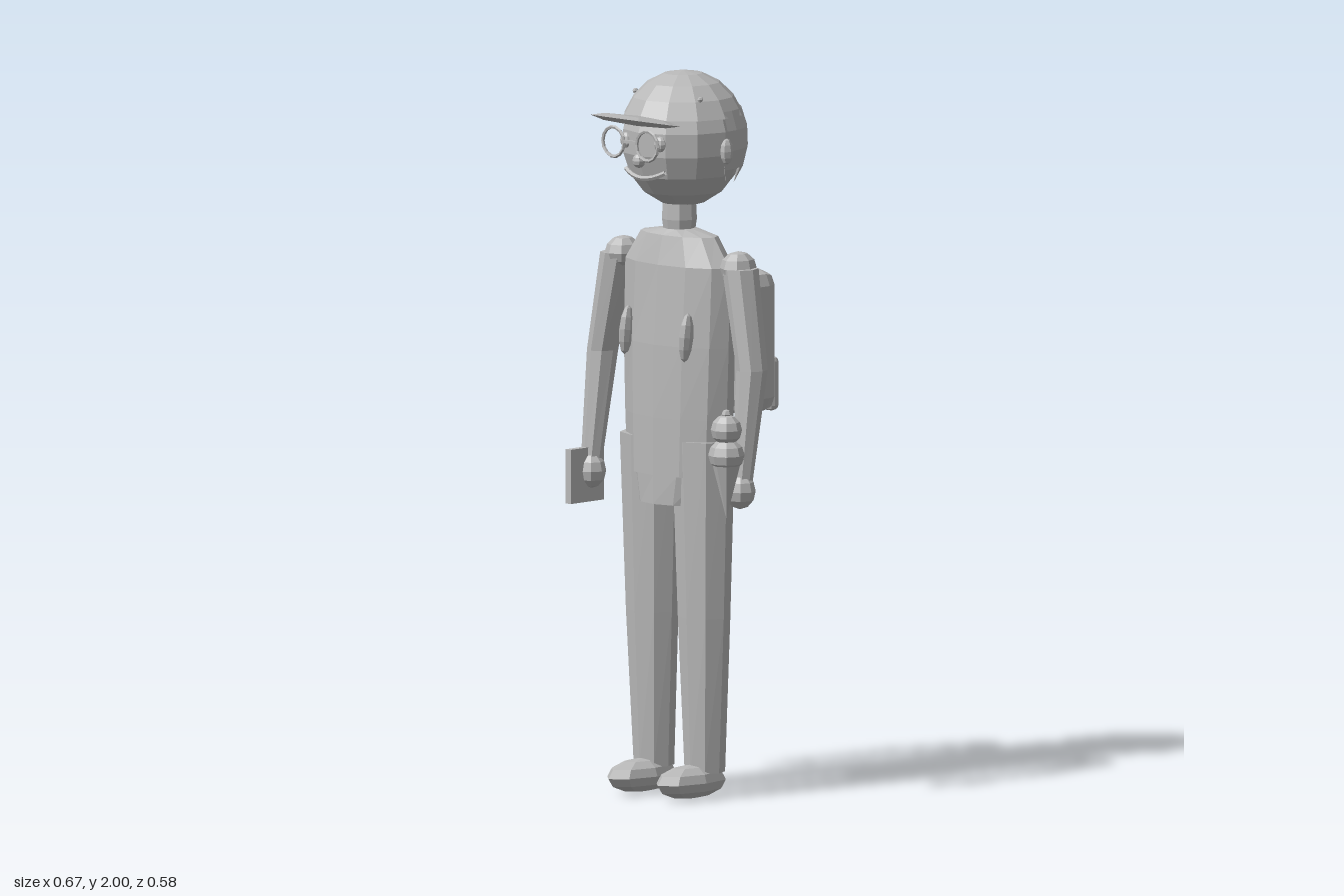
import * as THREE from 'three';
import { RoundedBoxGeometry } from 'three/addons/geometries/RoundedBoxGeometry.js';

export function createModel() {
  const model = new THREE.Group();
  const grey = new THREE.MeshStandardMaterial({ color: 0xb8b8b8, flatShading: true, side: THREE.DoubleSide });
  grey.name = 'plain grey';

  const add = (name, geometry, x = 0, y = 0, z = 0, parent = model) => {
    const mesh = new THREE.Mesh(geometry, grey);
    mesh.name = name;
    mesh.position.set(x, y, z);
    parent.add(mesh);
    return mesh;
  };
  const ball = (name, rx, ry, rz, x, y, z, w = 8, h = 6, parent = model) =>
    add(name, new THREE.SphereGeometry(1, w, h).scale(rx, ry, rz), x, y, z, parent);

  // Closed loft through elliptical rings [y, rx, rz, centre x, centre z], listed from the top
  const loft = (rings, sides) => {
    const g = new THREE.CylinderGeometry(1, 1, 1, sides, rings.length - 1);
    const p = g.attributes.position;
    for (let i = 0; i < p.count; i++) {
      const [y, rx, rz, cx = 0, cz = 0] = rings[Math.round((0.5 - p.getY(i)) * (rings.length - 1))];
      p.setXYZ(i, cx + p.getX(i) * rx, y, cz + p.getZ(i) * rz);
    }
    return g;
  };

  // Torso, hips and neck
  add('torso', loft([
    [1.565, 0.05, 0.045], [1.55, 0.135, 0.065], [1.47, 0.192, 0.085],
    [1.25, 0.19, 0.1], [1.05, 0.182, 0.103], [0.89, 0.173, 0.103],
  ], 12));
  add('hips', loft([[0.99, 0.165, 0.108], [0.89, 0.15, 0.108], [0.81, 0.125, 0.108]], 12), 0, 0, -0.005);
  add('neck', loft([[1.65, 0.045, 0.045], [1.59, 0.048, 0.048], [1.55, 0.042, 0.042]], 8));

  for (const s of [-1, 1]) {
    const side = s > 0 ? 'left' : 'right';
    // Legs and shoes
    add(side + 'Leg', loft([
      [0.99, 0.093, 0.08, s * 0.1, 0.008], [0.5, 0.076, 0.068, s * 0.1, 0.005], [0.07, 0.055, 0.056, s * 0.098, 0],
    ], 8));
    ball(side + 'Shoe', 0.06, 0.047, 0.13, s * 0.095, 0.047, 0.05, 8, 6);

    // Arms and hands
    ball(side + 'Shoulder', 0.046, 0.046, 0.055, s * 0.222, 1.475, -0.005);
    add(side + 'Arm', loft([
      [1.475, 0.048, 0.052, s * 0.235, 0], [1.2, 0.04, 0.046, s * 0.288, 0.008], [0.89, 0.028, 0.03, s * 0.29, 0.05],
    ], 8));
    ball(side + 'Hand', 0.044, 0.05, 0.042, s * 0.288, 0.87, 0.055);

    // Strap bulging from the chest
    const strap = ball(side + 'Strap', 0.015, 0.068, 0.025, s * 0.115, 1.28, 0.09);
    strap.rotation.x = -0.12;
  }

  // Flat device in the right hand
  add('handheldPlate', new THREE.BoxGeometry(0.02, 0.15, 0.13), -0.29, 0.86, 0.075);

  // Ice cream in the left hand
  const treat = new THREE.Group();
  treat.name = 'iceCream';
  treat.position.set(0.29, 0, 0.11);
  model.add(treat);
  add('cone', new THREE.ConeGeometry(0.042, 0.165, 8).rotateX(Math.PI), 0, 0.882, 0, treat);
  ball('lowerScoop', 0.05, 0.046, 0.05, 0, 0.975, 0, 8, 6, treat);
  ball('upperScoop', 0.043, 0.043, 0.043, 0, 1.045, 0, 8, 6, treat);
  ball('cherry', 0.014, 0.014, 0.014, 0, 1.088, 0, 6, 4, treat);

  // Backpack
  add('backpack', new RoundedBoxGeometry(0.28, 0.4, 0.14, 1, 0.045), 0, 1.24, -0.185);
  add('backpackPocket', new RoundedBoxGeometry(0.205, 0.15, 0.036, 1, 0.014), 0, 1.115, -0.272);

  // Head
  const head = new THREE.Group();
  head.name = 'head';
  head.position.set(0, 1.81, -0.015);
  model.add(head);
  ball('skull', 0.166, 0.187, 0.177, 0, 0, 0, 12, 9, head);

  // Cap with brim and eyelets
  add('capDome', new THREE.SphereGeometry(1, 12, 4, 0, Math.PI * 2, 0, 1.2).scale(0.175, 0.19, 0.184), 0, 0, 0, head);
  const brim = ball('capBrim', 0.13, 0.014, 0.13, 0, 0.066, 0.178, 8, 4, head);
  brim.rotation.x = -0.19;

  // Hair shell around the back with a jagged hem
  const hair = new THREE.SphereGeometry(1, 14, 4, Math.PI, Math.PI, 1.1, 1.15);
  const hp = hair.attributes.position;
  for (let i = 0; i < 15; i++) {
    const k = 4 * 15 + i;
    if (i % 2 === 0) hp.setXYZ(k, hp.getX(k) * 1.16, hp.getY(k) + 0.32, hp.getZ(k) * 1.16);
  }
  add('hair', hair.scale(0.174, 0.192, 0.183), 0, 0, 0, head);

  // Face
  for (const s of [-1, 1]) {
    const side = s > 0 ? 'left' : 'right';
    ball(side + 'Ear', 0.016, 0.036, 0.02, s * 0.168, -0.02, 0, 6, 6, head);
    ball(side + 'Eye', 0.02, 0.022, 0.014, s * 0.065, 0.005, 0.156, 8, 6, head);
    ball(side + 'Pupil', 0.009, 0.01, 0.006, s * 0.065, 0.005, 0.169, 6, 4, head);
    ball(side + 'Eyelet', 0.008, 0.008, 0.008, s * 0.125, 0.125, 0.06, 6, 4, head);
    add(side + 'GlassesRim', new THREE.TorusGeometry(0.041, 0.005, 5, 14), s * 0.065, 0.005, 0.206, head);
  }
  add('glassesBridge', new THREE.BoxGeometry(0.05, 0.008, 0.008), 0, 0.01, 0.206, head);
  ball('nose', 0.019, 0.02, 0.018, 0, -0.045, 0.172, 8, 6, head);
  const smile = new THREE.QuadraticBezierCurve3(
    new THREE.Vector3(-0.075, -0.075, 0.146), new THREE.Vector3(0, -0.115, 0.172), new THREE.Vector3(0.075, -0.075, 0.146));
  add('mouth', new THREE.TubeGeometry(smile, 8, 0.007, 5), 0, 0, 0, head);

  model.children.forEach((part) => { part.position.x -= 0.006; });
  return model;
}
